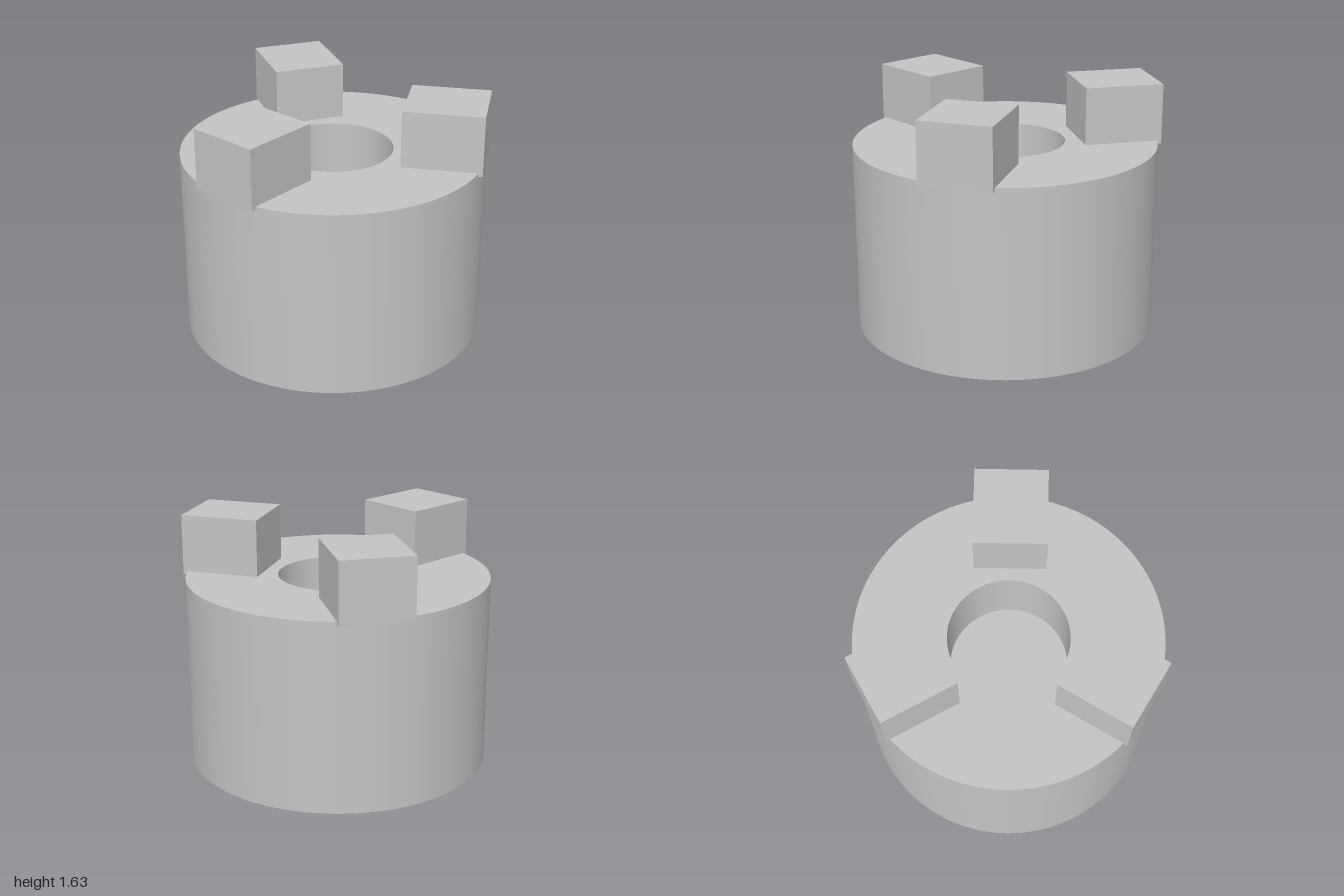
import * as THREE from 'three';
import { toCreasedNormals } from 'three/addons/utils/BufferGeometryUtils.js';

export function createModel() {
  const model = new THREE.Group();
  model.name = 'jawCoupling';
  const steel = new THREE.MeshStandardMaterial({ name: 'steelGrey', color: 0xc4c4c4 });

  // Hub: solid drum with a wide recess on top and a narrower bore below
  const profile = [
    [0, 0.5], [0.264, 0.5], [0.264, 0], [1, 0],
    [1, 1.25], [0.395, 1.25], [0.395, 0.75], [0, 0.75],
  ].map(([r, y]) => new THREE.Vector2(r, y));
  const hub = new THREE.Mesh(toCreasedNormals(new THREE.LatheGeometry(profile, 120), 0.6), steel);
  hub.name = 'hub';
  model.add(hub);

  // Three jaws, slightly sunk into the top face
  const jawGeometry = new THREE.BoxGeometry(0.52, 0.4, 0.474);
  for (let i = 0; i < 3; i++) {
    const angle = Math.PI + (i * Math.PI * 2) / 3;
    const jaw = new THREE.Mesh(jawGeometry, steel);
    jaw.name = `jaw${i + 1}`;
    jaw.position.set(Math.cos(angle) * 0.74, 1.428, -Math.sin(angle) * 0.74);
    jaw.rotation.y = angle;
    model.add(jaw);
  }
  return model;
}
